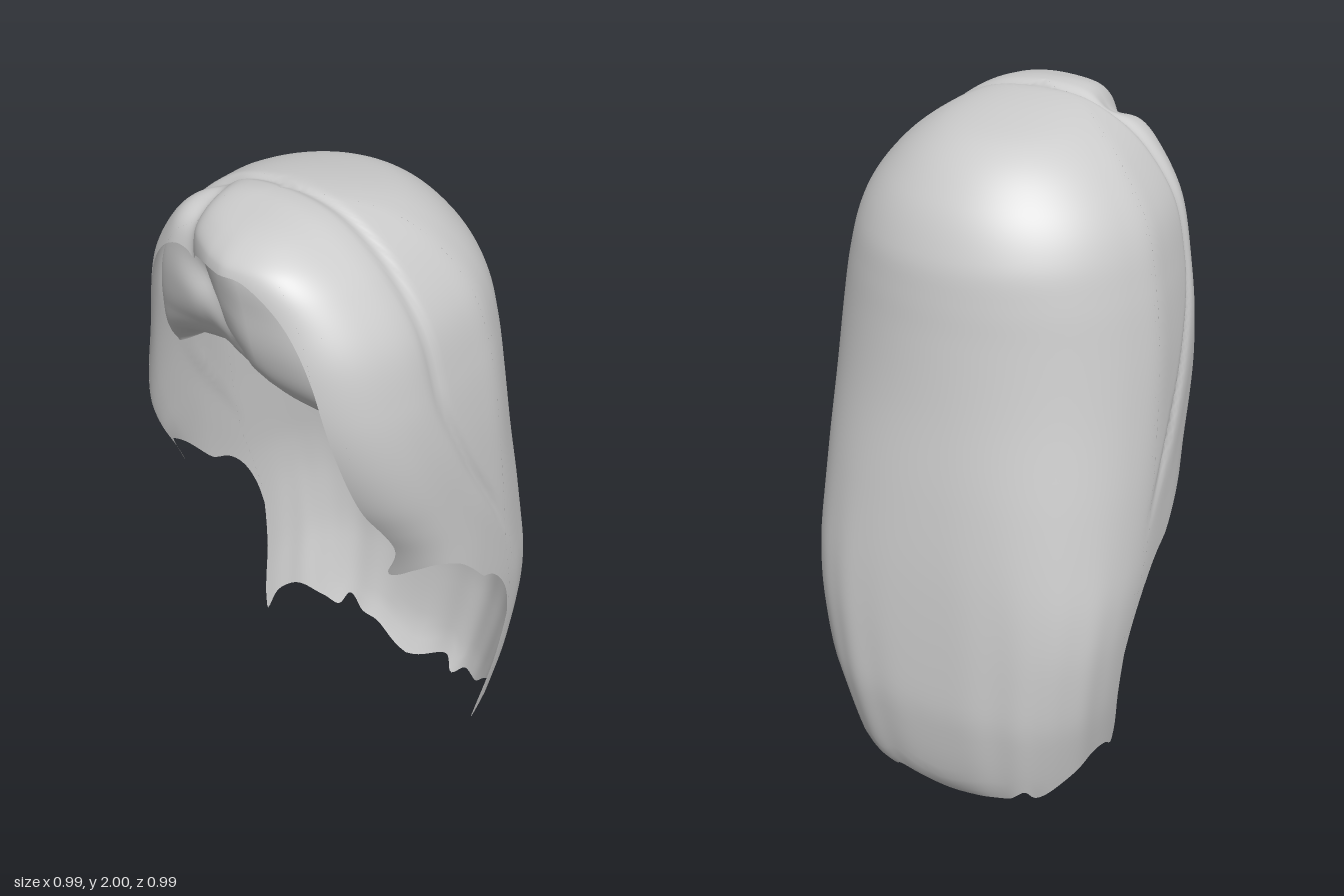
import * as THREE from 'three';

// Smooth profile over height: keys are [y, value] from the crown (y = 2) downwards.
// Spaced by sqrt(2 - y) so that the crown closes as a round dome.
function profile(keys) {
  const p = keys.map(([y, v]) => [Math.sqrt(Math.max(0, 2 - y)), v]);
  const slope = (i) => {
    const a = p[Math.max(0, i - 1)], b = p[Math.min(p.length - 1, i + 1)];
    return (b[1] - a[1]) / (b[0] - a[0]);
  };
  return (y) => {
    const q = Math.sqrt(Math.max(0, 2 - y));
    let i = 0;
    while (i < p.length - 2 && q > p[i + 1][0]) i++;
    const h = p[i + 1][0] - p[i][0], t = Math.min(1, (q - p[i][0]) / h), s = 1 - t;
    return p[i][1] * s * s * (1 + 2 * t) + p[i + 1][1] * t * t * (3 - 2 * t)
      + h * (slope(i) * s * s * t - slope(i + 1) * t * t * s);
  };
}

const halfWidth = profile([[2, 0], [1.985, 0.13], [1.94, 0.23], [1.87, 0.315], [1.75, 0.4], [1.6, 0.443],
  [1.45, 0.467], [1.3, 0.48], [1, 0.494], [0.8, 0.494], [0.6, 0.477], [0.35, 0.45], [0.18, 0.425], [0, 0.39]]);
const middle = profile([[2, 0.23], [1.9, 0.1], [1.7, 0.05], [1.4, 0.02], [1.1, 0], [0.9, -0.01],
  [0.75, -0.05], [0.6, -0.08], [0.4, -0.06], [0.2, 0.0], [0, 0.0]]);
const backZ = profile([[2, 0.23], [1.99, 0.09], [1.975, 0], [1.94, -0.14], [1.83, -0.275], [1.7, -0.342],
  [1.6, -0.361], [1.5, -0.373], [1.3, -0.4], [1.05, -0.44], [0.8, -0.47], [0.5, -0.488], [0.35, -0.485],
  [0.1, -0.44], [0, -0.38]]);
const frontZ = profile([[2, 0.23], [1.985, 0.37], [1.96, 0.44], [1.92, 0.49], [1.8, 0.51], [1.7, 0.52],
  [1.6, 0.52], [1.5, 0.505], [1.4, 0.475], [1.3, 0.43], [1.2, 0.365], [1.1, 0.3], [1, 0.255], [0.8, 0.2], [0, 0.2]]);
const seamZ = profile([[2, 0.2], [1.6, 0.2], [1.35, 0.1], [1.1, -0.05], [0.95, -0.13], [0, -0.5]]);

const { smoothstep, lerp } = THREE.MathUtils;
const bell = (d, w) => Math.exp(-(d * d) / (w * w));
const power = (v, e) => Math.sign(v) * Math.pow(Math.abs(v), e);

// Point on the outer hair; angle 0 is the front, +90 degrees is the left side (+x).
function hairPoint(angle, y) {
  const s = Math.sin(angle), c = Math.cos(angle);
  // round at the back of the head, boxier at the fringe and the lower back
  const e = lerp(lerp(0.66, 1, smoothstep(y, 0.6, 1.5)), 0.56, smoothstep(c, -0.4, 0.4));
  const zc = middle(y);
  let x = halfWidth(y) * power(s, e), z;
  if (c > 0) {
    // the fringe lobe on the right of the head is shallower
    const lobe = (1 - smoothstep(x, -0.21, 0.06)) * smoothstep(y, 1.15, 1.6);
    z = zc + (frontZ(y) - zc) * (1 - 0.29 * lobe) * power(c, e);
  } else {
    z = zc + (zc - backZ(y)) * power(c, e);
  }
  // groove between cap and fringe, parting crease, soft strands down the back
  const d = z - seamZ(y), upper = smoothstep(y, 0.9, 1.2);
  const groove = upper * (0.01 * bell(d, 0.016) - 0.004 * bell(d - 0.06, 0.05));
  const part = 0.03 * bell(x + 0.185, 0.045) * smoothstep(z, 0.17, 0.28) * smoothstep(y, 1.65, 1.85);
  const strands = (1 - smoothstep(y, 0.3, 1.2)) * smoothstep(-c, 0, 0.5)
    * (0.002 * Math.sin(angle * 13 + 1) + 0.0012 * Math.sin(angle * 22 + y * 3));
  const k = 1 - (groove + part + strands) / 0.5, yc = Math.min(y, 1.5);
  return new THREE.Vector3(x * k, yc + (y - yc) * k, z * k);
}

// Grid of points to a smooth surface; columns run left to right, rows run downwards.
function surface(name, columns, rows, closed, pointAt) {
  const position = [], index = [];
  const count = closed ? columns : columns + 1;
  for (let i = 0; i < count; i++)
    for (let j = 0; j <= rows; j++) position.push(...pointAt(i / columns, j / rows).toArray());
  for (let i = 0; i < columns; i++) {
    for (let j = 0; j < rows; j++) {
      const a = i * (rows + 1) + j, b = ((i + 1) % count) * (rows + 1) + j;
      index.push(a, a + 1, b + 1, a, b + 1, b);
    }
  }
  const geometry = new THREE.BufferGeometry();
  geometry.setAttribute('position', new THREE.Float32BufferAttribute(position, 3));
  geometry.setIndex(index);
  geometry.computeVertexNormals();
  const mesh = new THREE.Mesh(geometry,
    new THREE.MeshStandardMaterial({ color: 0xcccccc, side: THREE.DoubleSide }));
  mesh.name = name;
  return mesh;
}

// Lower edge of the hair as [angle in degrees, height]: ragged back, side locks, fringe arches.
const rightHem = [[-180, 0.0], [-168, 0.05], [-158, 0.07], [-150, 0.12], [-144, 0.08], [-132, 0.12],
  [-114, 0.2], [-105, 0.2], [-99, 0.16], [-101, 0.28], [-101, 0.42], [-98, 0.6], [-95, 0.75], [-89, 0.86],
  [-76, 0.98], [-60, 1.06], [-48, 1.1], [-38, 1.05], [-44, 1.2], [-47, 1.4], [-49, 1.62], [-46, 1.76],
  [-32, 1.84], [-25, 1.845], [-20, 1.835]];
const leftHem = [[-14, 1.85], [-8, 1.875], [0, 1.9], [10, 1.9], [22, 1.84], [30, 1.7], [34, 1.5],
  [36.5, 1.3], [40, 1.13], [30, 0.99], [46, 1.03], [60, 1.05], [76, 1.02], [89, 0.91], [95, 0.77], [98, 0.6],
  [101, 0.42], [101, 0.28], [98, 0.17], [108, 0.21], [130, 0.13], [140, 0.07], [154, 0.06], [161, 0.02],
  [167, 0.06], [180, 0.0]];
const hem = new THREE.CatmullRomCurve3(
  [...rightHem, ...leftHem].map(([a, y]) => new THREE.Vector3(a / 90, y, 0)), false, 'centripetal');
hem.arcLengthDivisions = 1500;

// Angle of each arch's outer edge by height; the locks beside the face bend around it.
const rightArch = profile([[2, 0], [1.85, 20], [1.84, 32], [1.76, 46], [1.62, 49], [1.4, 47], [1.2, 44], [1.05, 38]]);
const leftArch = profile([[2, 0], [1.9, 10], [1.84, 22], [1.7, 30], [1.5, 34], [1.3, 36.5], [1.13, 40], [0.99, 30]]);

// How far the forehead lining reaches from the back wall to the front, by height.
const liningReach = profile([[1.93, 0.99], [1.84, 0.97], [1.7, 0.94], [1.6, 0.89], [1.52, 0.79],
  [1.47, 0.6], [1.44, 0.36], [1.415, 0.05]]);

export function createModel() {
  const group = new THREE.Group();
  group.name = 'longHair';

  // outer hair, from the crown down to the hem
  const hemPoints = hem.getSpacedPoints(480);
  group.add(surface('hairShell', 480, 80, true, (u, v) => {
    const end = hemPoints[Math.round(u * 480)];
    const y = 2 - (2 - end.y) * v * v;
    let degrees = end.x * 90;
    if (end.y < 1.75 && v < 1) {
      degrees = degrees < 0 ? Math.min(degrees, -rightArch(y)) : Math.max(degrees, leftArch(y));
    }
    return hairPoint(degrees * Math.PI / 180, y);
  }));

  // puffy lining that fills the head above the face and curls under to the back wall
  group.add(surface('foreheadLining', 80, 40, false, (u, v) => {
    const angle = (u - 0.5) * Math.PI, side = Math.sin(angle) ** 2;
    const y = 1.92 - 0.505 * (1 - (1 - v) ** 1.6);
    const p = hairPoint(angle, y);
    // diagonal crease running down from the parting
    const crease = 0.07 * bell(p.x + 0.18 - (1.84 - y) * 0.7, 0.09) * smoothstep(y, 1.45, 1.6)
      * (1 - smoothstep(y, 1.72, 1.86));
    const reach = lerp(liningReach(y) - crease, 1, side);
    const back = backZ(y) + 0.015;
    return new THREE.Vector3(p.x * 0.97, p.y - 0.006 - 0.03 * side * v, back + (p.z - 0.01 - back) * reach);
  }));
  return group;
}
